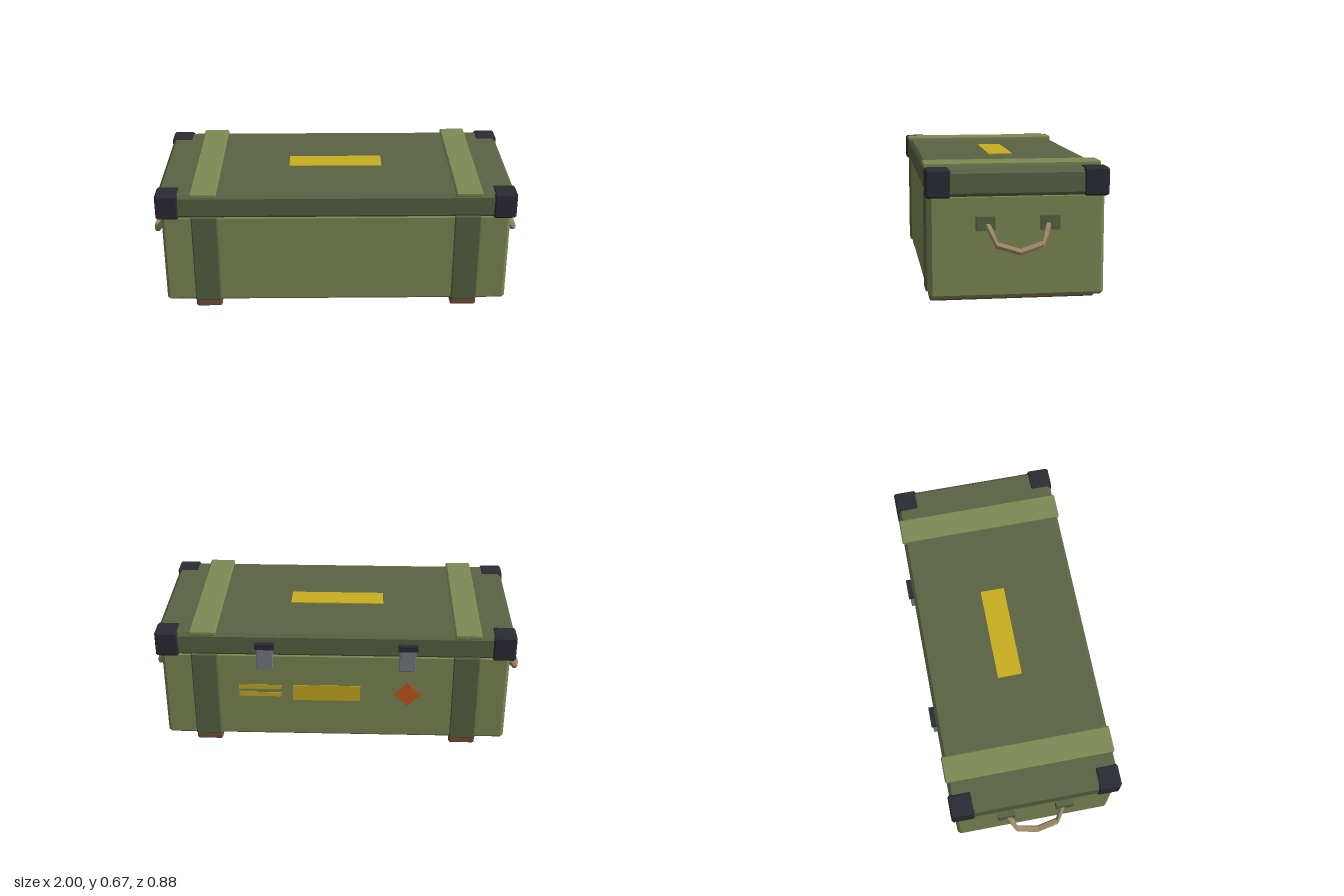
import * as THREE from 'three';
import { ConvexGeometry } from 'three/addons/geometries/ConvexGeometry.js';

const mat = (name, color) => {
  const m = new THREE.MeshStandardMaterial({ color });
  m.name = name;
  return m;
};

// Box between two corners with chamfered edges, flat faces
function chamferBox([x0, y0, z0], [x1, y1, z1], c) {
  const h = [(x1 - x0) / 2, (y1 - y0) / 2, (z1 - z0) / 2];
  const pts = [];
  for (const sx of [-1, 1]) for (const sy of [-1, 1]) for (const sz of [-1, 1])
    for (let axis = 0; axis < 3; axis++) {
      const p = [sx, sy, sz].map((s, i) => s * (i === axis ? h[i] : h[i] - c));
      pts.push(new THREE.Vector3(...p));
    }
  return new ConvexGeometry(pts).translate((x0 + x1) / 2, (y0 + y1) / 2, (z0 + z1) / 2);
}

function plainBox([x0, y0, z0], [x1, y1, z1]) {
  return new THREE.BoxGeometry(x1 - x0, y1 - y0, z1 - z0)
    .translate((x0 + x1) / 2, (y0 + y1) / 2, (z0 + z1) / 2);
}

export function createModel() {
  const group = new THREE.Group();
  group.name = 'crate';
  const green = mat('light olive', 0x7d8a54);
  const dark = mat('dark olive', 0x596344);
  const black = mat('black metal', 0x2b2b34);
  const steel = mat('grey steel', 0x747c88);
  const brown = mat('brown wood', 0x74503a);
  const rope = mat('tan rope', 0xa18c6a);
  const yellow = mat('yellow paint', 0xc9ae20);
  const orange = mat('orange paint', 0xc8581e);

  const add = (name, geometry, material) => {
    const mesh = new THREE.Mesh(geometry, material);
    mesh.name = name;
    group.add(mesh);
    return mesh;
  };

  // Main box and lid
  add('body', chamferBox([-0.89, 0.045, -0.407], [0.89, 0.54, 0.427], 0.015), green);
  add('lid', chamferBox([-0.91, 0.53, -0.415], [0.91, 0.655, 0.435], 0.016), dark);
  add('lidLabel', plainBox([-0.245, 0.652, -0.06], [0.245, 0.66, 0.065]), yellow);

  for (const s of [-1, 1]) {
    const span = (a, b) => (s > 0 ? [a, b] : [-b, -a]);
    const [b0, b1] = span(0.605, 0.74);

    // Runner, wall battens and lid batten
    add('runner', chamferBox([b0, 0, -0.395], [b1, 0.055, 0.415], 0.008), brown);
    add('frontBatten', chamferBox([b0, 0.046, 0.4], [b1, 0.535, 0.434], 0.006), dark);
    add('backBatten', chamferBox([b0, 0.046, -0.414], [b1, 0.535, -0.38], 0.006), dark);
    add('lidBatten', chamferBox([b0, 0.645, -0.422], [b1, 0.672, 0.442], 0.006), green);

    // Lid corner caps
    const [c0, c1] = span(0.8, 0.916);
    add('frontCornerCap', chamferBox([c0, 0.526, 0.325], [c1, 0.66, 0.442], 0.009), black);
    add('backCornerCap', chamferBox([c0, 0.526, -0.424], [c1, 0.66, -0.304], 0.009), black);

    // Handle mounts
    const [m0, m1] = span(0.88, 0.92);
    for (const z of [-0.143, 0.163])
      add('handleMount', plainBox([m0, 0.371, z - 0.045], [m1, 0.438, z + 0.045]), dark);

    // Drooping rope handle
    const path = new THREE.CurvePath();
    const pts = [[0.905, 0.4, 0.155], [0.966, 0.312, 0.118], [0.983, 0.28, 0.01],
      [0.966, 0.312, -0.098], [0.905, 0.4, -0.135]]
      .map(([x, y, z]) => new THREE.Vector3(s * x, y, z));
    for (let i = 0; i < 4; i++) path.add(new THREE.LineCurve3(pts[i], pts[i + 1]));
    const handle = new THREE.TubeGeometry(path, 4, 0.017, 6).toNonIndexed();
    handle.computeVertexNormals();
    add('handle', handle, rope);

    // Latch on the back
    const lx = s > 0 ? 0.36 : -0.37;
    add('latchHinge', plainBox([lx - 0.05, 0.58, -0.441], [lx + 0.05, 0.61, -0.4]), black);
    add('latchPlate', chamferBox([lx - 0.042, 0.46, -0.434], [lx + 0.042, 0.59, -0.411], 0.003), steel);
  }

  // Painted markings on the back
  const z0 = -0.41, z1 = -0.404;
  add('backLabel', plainBox([-0.13, 0.265, z0], [0.22, 0.355, z1]), yellow);
  for (const y of [0.298, 0.342])
    add('backStripe', plainBox([0.28, y - 0.012, z0], [0.5, y + 0.012, z1]), yellow);
  const diamond = add('backDiamond', new THREE.BoxGeometry(0.1, 0.1, 0.006), orange);
  diamond.position.set(-0.375, 0.31, -0.407);
  diamond.rotation.z = Math.PI / 4;

  return group;
}
